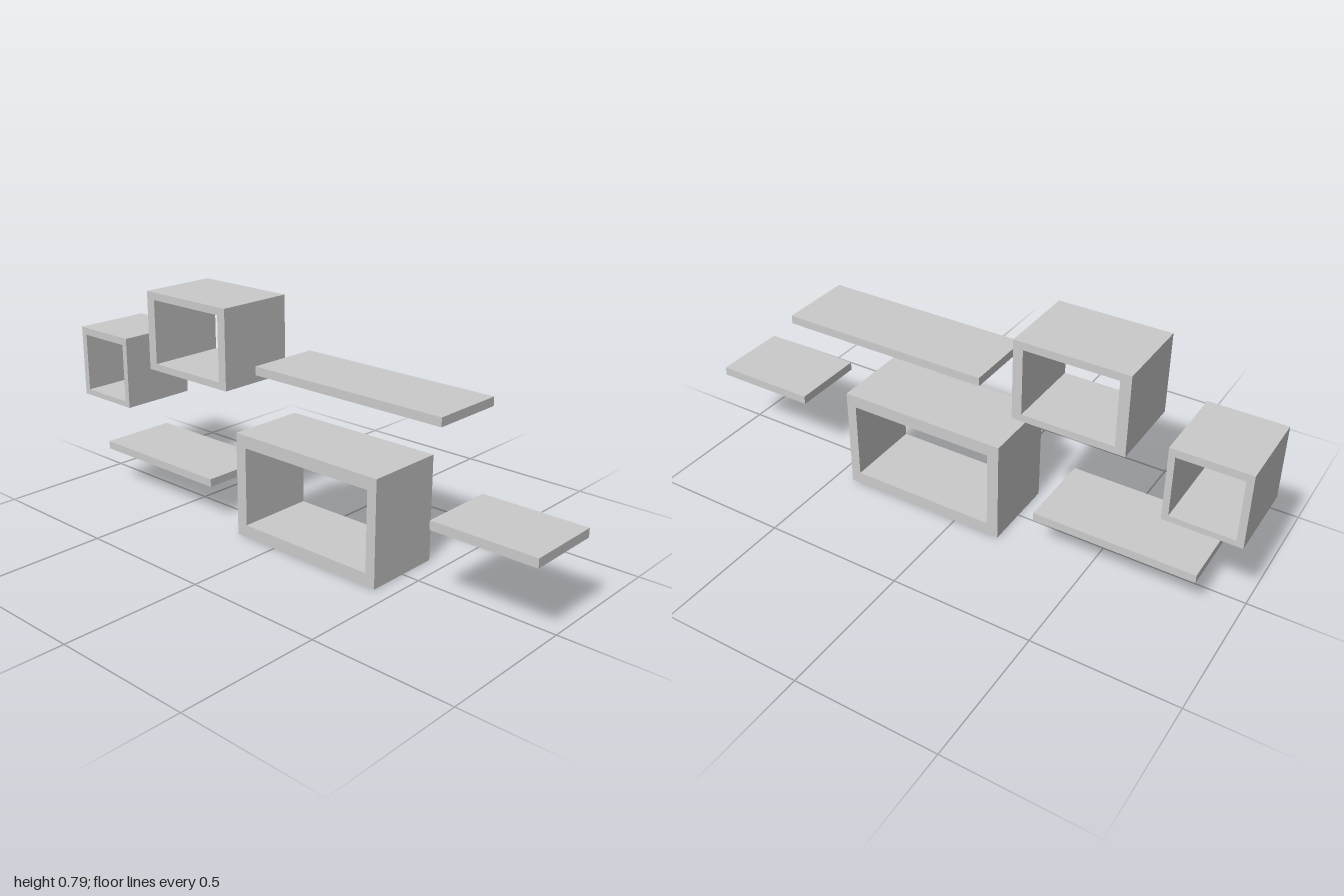
import * as THREE from 'three';

const material = new THREE.MeshStandardMaterial({ color: 0xcccccc });

// Rectangle outline in (z, y), drawn with shape x = -z so it can be turned to face the side
function trace(path, [z0, z1, y0, y1]) {
  path.moveTo(-z1, y0);
  path.lineTo(-z0, y0);
  path.lineTo(-z0, y1);
  path.lineTo(-z1, y1);
  path.closePath();
  return path;
}

// Box frame open at both sides, extruded along x
function cubeShelf(name, outer, inner, x0, x1) {
  const shape = trace(new THREE.Shape(), outer);
  shape.holes.push(trace(new THREE.Path(), inner));
  const geometry = new THREE.ExtrudeGeometry(shape, { depth: x1 - x0, bevelEnabled: false });
  geometry.rotateY(Math.PI / 2);
  geometry.translate(x0, 0, 0);
  const mesh = new THREE.Mesh(geometry, material);
  mesh.name = name;
  return mesh;
}

// Flat board
function plank(name, [z0, z1, y0, y1], x0, x1) {
  const mesh = new THREE.Mesh(new THREE.BoxGeometry(x1 - x0, y1 - y0, z1 - z0), material);
  mesh.position.set((x0 + x1) / 2, (y0 + y1) / 2, (z0 + z1) / 2);
  mesh.name = name;
  return mesh;
}

export function createModel() {
  const group = new THREE.Group();
  group.name = 'wallShelfSet';

  // Open box shelves: outer and inner limits as [zMin, zMax, yMin, yMax]
  group.add(
    cubeShelf('largeBoxShelf', [-0.172, 0.436, 0, 0.372], [-0.13, 0.4, 0.045, 0.327], -0.1435, 0.142),
    cubeShelf('mediumBoxShelf', [-0.608, -0.218, 0.507, 0.79], [-0.572, -0.252, 0.532, 0.763], -0.1435, 0.142),
    cubeShelf('smallBoxShelf', [-1, -0.74, 0.33, 0.593], [-0.976, -0.762, 0.351, 0.566], -0.1435, 0.142)
  );

  // Floating boards
  group.add(
    plank('longPlankShelf', [-0.099, 0.65, 0.584, 0.614], -0.121, 0.142),
    plank('shortPlankShelf', [0.629, 1, 0.261, 0.292], -0.13, 0.1425),
    plank('lowPlankShelf', [-0.874, -0.307, 0.137, 0.166], -0.1435, 0.1435)
  );
  return group;
}
